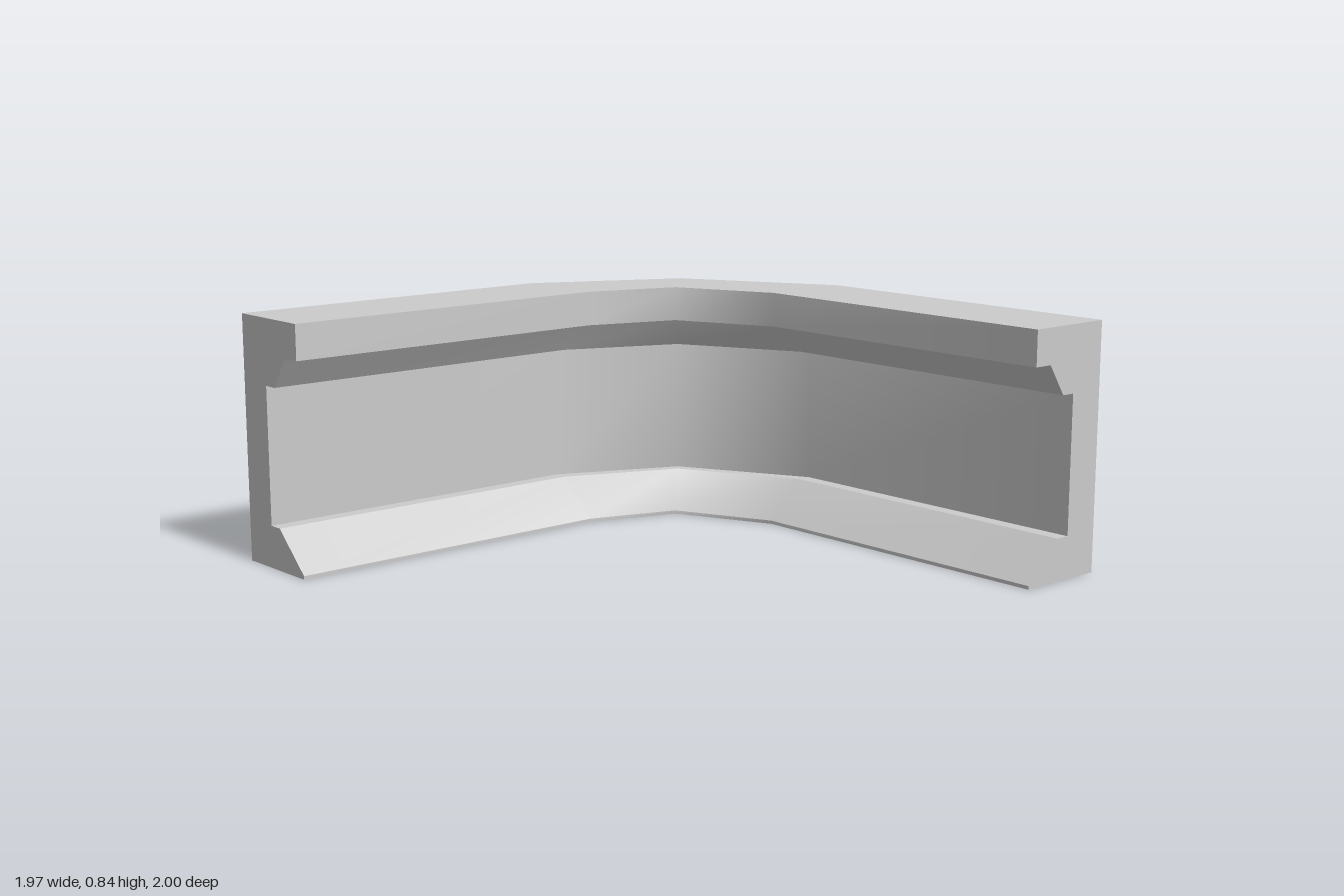
import * as THREE from 'three';
import { mergeGeometries } from 'three/addons/utils/BufferGeometryUtils.js';

// Plan of the sweep: outer and inner [x, z] at each station
const stations = [
  { outer: [-0.985, 1], inner: [-0.655, 1] },
  { outer: [-0.985, -0.2], inner: [-0.655, -0.2] },
  { outer: [-0.735, -0.71], inner: [-0.55, -0.52] },
  { outer: [-0.2, -1], inner: [-0.2, -0.675] },
  { outer: [0.98, -1], inner: [0.98, -0.675] },
];

// Channel section: [depth from outer (0) to inner (1), height]
const profile = [
  [0, 0], [1, 0], [1, 0.012], [0.57, 0.145], [0.415, 0.145], [0.415, 0.615],
  [0.57, 0.615], [0.785, 0.72], [1, 0.72], [1, 0.84], [0, 0.84],
];

function pointAt({ outer, inner }, [t, y]) {
  return [
    THREE.MathUtils.lerp(outer[0], inner[0], t), y,
    THREE.MathUtils.lerp(outer[1], inner[1], t),
  ];
}

function makeGeometry(points, index) {
  const geometry = new THREE.BufferGeometry();
  geometry.setAttribute('position', new THREE.Float32BufferAttribute(points.flat(), 3));
  geometry.setIndex(index);
  geometry.computeVertexNormals();
  return geometry;
}

// One profile edge swept smoothly over a run of stations
function strip(a, b, run) {
  const points = run.flatMap((s) => [pointAt(s, a), pointAt(s, b)]);
  const index = [];
  for (let i = 0; i < run.length - 1; i++) {
    const k = i * 2;
    index.push(k, k + 2, k + 3, k, k + 3, k + 1);
  }
  return makeGeometry(points, index);
}

// Flat section closing one end
function cap(station, flip) {
  const contour = profile.map(([t, y]) => new THREE.Vector2(t, y));
  const faces = THREE.ShapeUtils.triangulateShape(contour, []);
  const index = faces.flatMap(([a, b, c]) => (flip ? [a, c, b] : [a, b, c]));
  return makeGeometry(profile.map((p) => pointAt(station, p)), index);
}

export function createModel() {
  const group = new THREE.Group();
  group.name = 'curvedChannel';
  const material = new THREE.MeshStandardMaterial({ color: 0xcccccc });
  const add = (name, geometry) => {
    const mesh = new THREE.Mesh(geometry, material);
    mesh.name = name;
    group.add(mesh);
  };

  // Bottom, grooved inner side and top
  const last = profile.length - 1;
  const sides = [];
  for (let i = 0; i < last; i++) sides.push(strip(profile[i], profile[i + 1], stations));
  add('groovedInnerSide', mergeGeometries(sides));

  // Outer wall: flat straight arms and a rounded bend
  const runs = [[0, 2], [1, 4], [3, 5]];
  add('outerWall', mergeGeometries(
    runs.map(([from, to]) => strip(profile[last], profile[0], stations.slice(from, to)))));

  add('frontEnd', cap(stations[0], false));
  add('sideEnd', cap(stations[stations.length - 1], true));
  return group;
}
